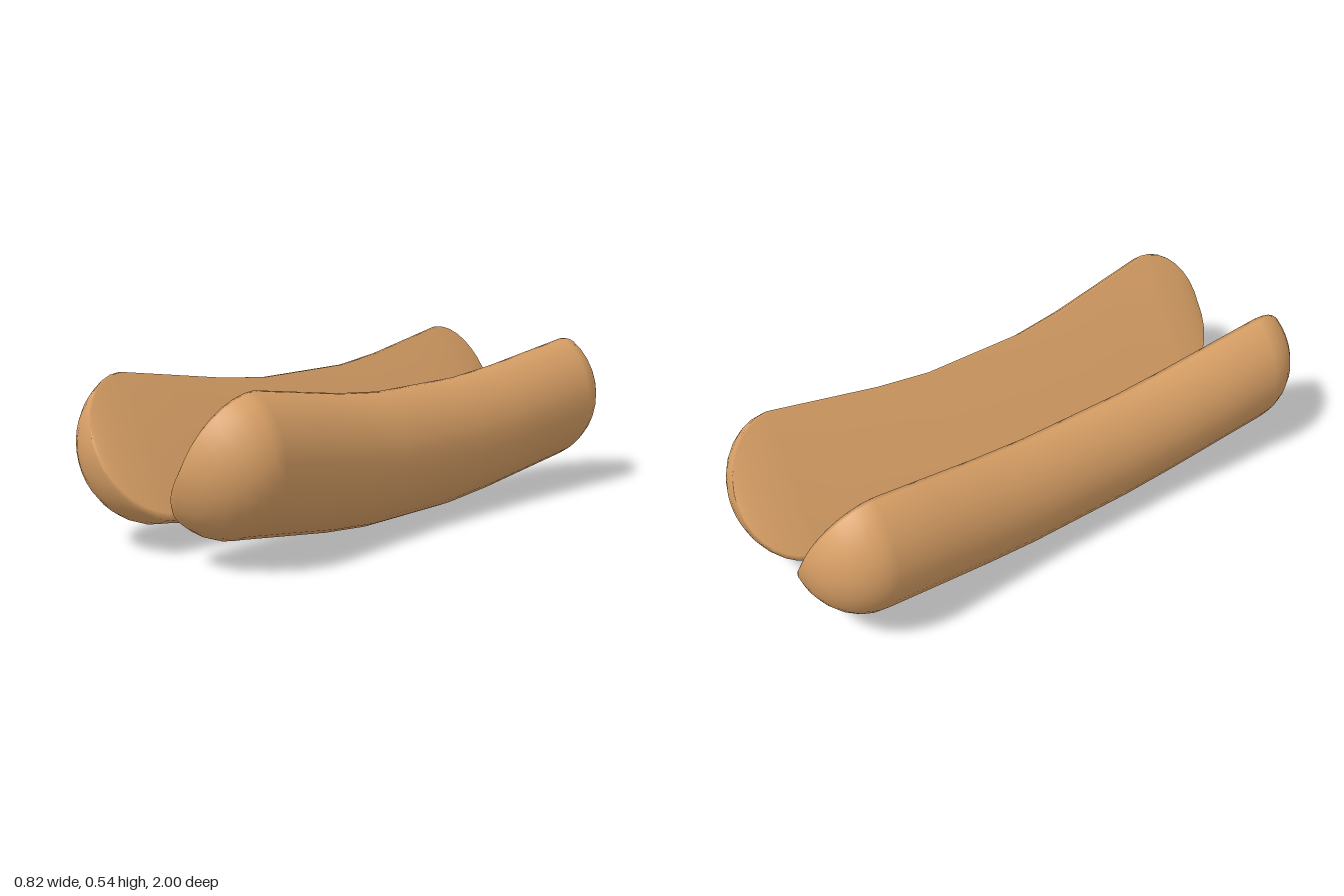
import * as THREE from 'three';
import { mergeVertices } from 'three/addons/utils/BufferGeometryUtils.js';

const RADIUS = 0.25;
const CENTRE = [0.12, 0.25];
const ARC_STEPS = 16;

// Half-round cross-section: flat cut face with a small bevel at both edges.
function halfSection() {
  const points = [[0, 0.052]];
  for (let i = 0; i <= ARC_STEPS; i++) {
    const a = THREE.MathUtils.degToRad(-116.5 + (173 * i) / ARC_STEPS);
    points.push([CENTRE[0] + RADIUS * Math.cos(a), CENTRE[1] + RADIUS * Math.sin(a)]);
  }
  points.push([0.242, 0.46]);
  return points;
}

// Stations along the length: position, lift along the cut face, section scale.
function stations() {
  const half = [[0, 0, 1], [0.2, 0, 1], [0.4, 0.02, 1], [0.6, 0.05, 1], [0.8, 0.08, 1]];
  const domeSteps = 8;
  for (let i = 1; i <= domeSteps; i++) {
    const a = (i / domeSteps) * Math.PI / 2;
    half.push([0.8 + 0.2 * Math.sin(a), 0.08, i === domeSteps ? 0 : Math.cos(a)]);
  }
  const back = half.slice(1).reverse().map(([z, lift, s]) => [-z, lift, s]);
  return [...back, ...half];
}

// Sweeps the section through the stations; side is +1 (left) or -1 (right).
function halfGeometry(side) {
  const section = halfSection();
  const rings = stations();
  const n = section.length;
  const positions = [];
  const index = [];
  // The domes close on a point just inside the body
  const tip = [CENTRE[0] + 0.02, CENTRE[1] - 0.01];
  for (const [z, lift, s] of rings) {
    for (const [x, y] of section) {
      const px = tip[0] + (x - tip[0]) * s + lift * 0.5;
      const py = tip[1] + (y - tip[1]) * s + lift;
      positions.push(side * px, py, z);
    }
  }
  for (let r = 0; r < rings.length - 1; r++) {
    for (let i = 0; i < n; i++) {
      const a = r * n + i;
      const b = r * n + (i + 1) % n;
      const c = b + n;
      const d = a + n;
      if (side > 0) index.push(a, b, c, a, c, d);
      else index.push(a, c, b, a, d, c);
    }
  }
  const geometry = new THREE.BufferGeometry();
  geometry.setAttribute('position', new THREE.Float32BufferAttribute(positions, 3));
  geometry.setIndex(index);
  const merged = mergeVertices(geometry, 1e-5);
  merged.computeVertexNormals();
  return merged;
}

export function createModel() {
  const group = new THREE.Group();
  group.name = 'splitBun';
  const crust = new THREE.MeshStandardMaterial({ color: 0xd9a066 });
  for (const [name, side] of [['leftBunHalf', 1], ['rightBunHalf', -1]]) {
    const mesh = new THREE.Mesh(halfGeometry(side), crust);
    mesh.name = name;
    group.add(mesh);
  }
  return group;
}
